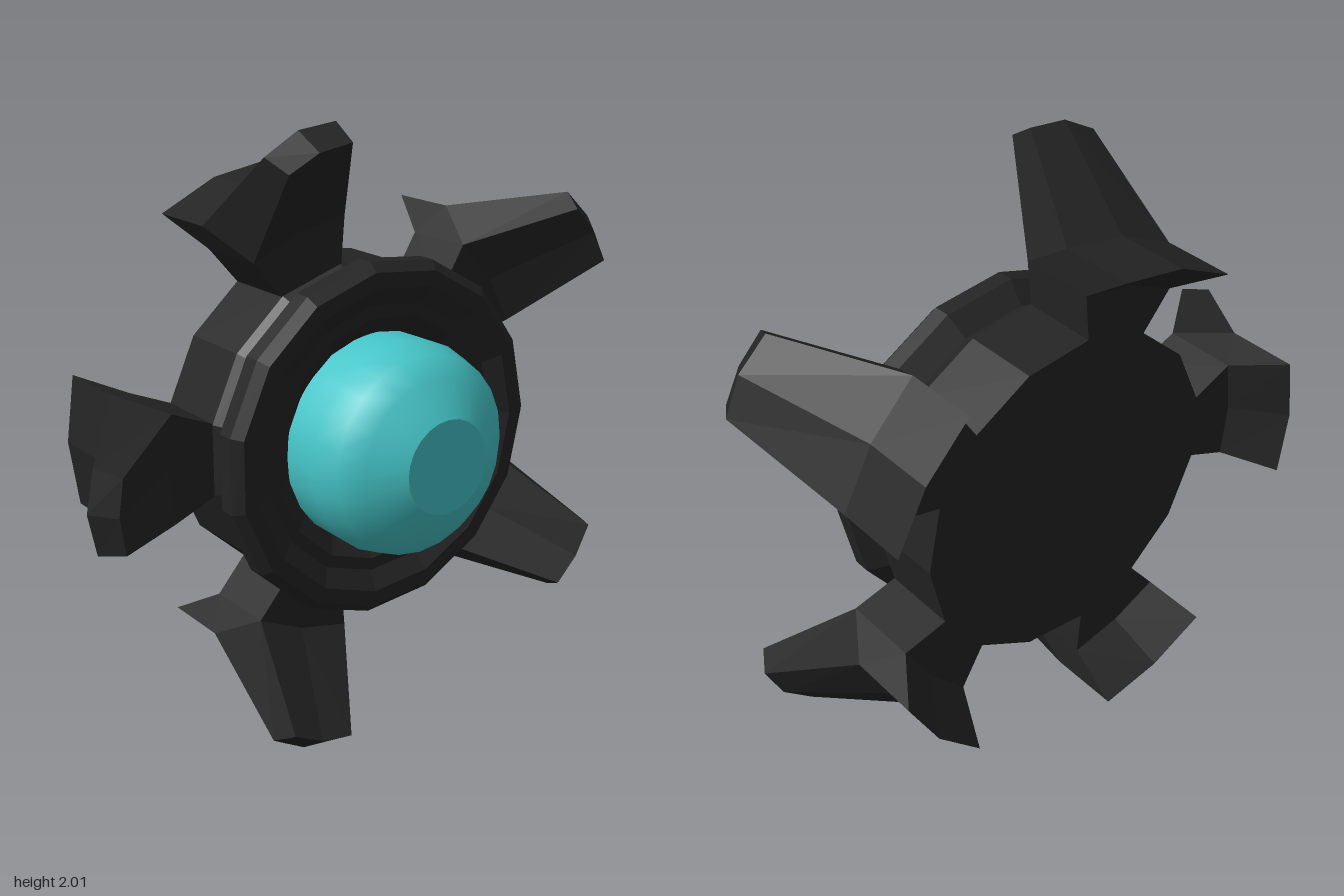
import * as THREE from 'three';

const casing = new THREE.MeshStandardMaterial({ color: 0x242424, flatShading: true });
casing.name = 'dark casing';
const glass = new THREE.MeshStandardMaterial({ color: 0x45c5c8 });
glass.name = 'teal lens';

// Profile of [radius, x] points turned about the x axis
function turned(points, sides) {
  const g = new THREE.LatheGeometry(points.map(p => new THREE.Vector2(p[0], p[1])), sides, Math.PI);
  return g.rotateZ(-Math.PI / 2);
}

// Arm pointing to +z: each row is x, edge radius, ridge radius, half width
function armGeometry() {
  const loop = [
    [-0.28, 0.52, 0.52, 0.112],
    [-0.28, 0.67, 0.69, 0.175],
    [-0.44, 0.78, 0.81, 0.213],
    [-0.20, 0.78, 0.81, 0.213],
    [0.13, 1.012, 1.038, 0.13],
    [0.21, 0.963, 0.98, 0.115],
    [-0.03, 0.67, 0.69, 0.175],
    [-0.03, 0.52, 0.52, 0.112],
  ];
  const n = loop.length, pos = [], idx = [];
  for (const k of [-1, 0, 1])
    for (const [x, edge, ridge, w] of loop) pos.push(x, k * w, k ? edge : ridge);
  for (let k = 0; k < 2; k++)
    for (let i = 0; i < n; i++) {
      const a = k * n + i, b = k * n + (i + 1) % n;
      idx.push(a, b, b + n, a, b + n, a + n);
    }
  // flat sides of the arm
  for (const [a, b, c] of [[0, 1, 7], [1, 6, 7], [1, 2, 3], [1, 3, 6], [3, 4, 6], [4, 5, 6]])
    idx.push(a, c, b, a + 2 * n, b + 2 * n, c + 2 * n);
  const g = new THREE.BufferGeometry();
  g.setAttribute('position', new THREE.Float32BufferAttribute(pos, 3));
  g.setIndex(idx);
  g.computeVertexNormals();
  return g;
}

export function createModel() {
  const model = new THREE.Group();
  model.name = 'model';
  const add = (name, geometry, material) => {
    const m = new THREE.Mesh(geometry, material);
    m.name = name;
    m.position.set(0, 1, -0.071);
    model.add(m);
    return m;
  };

  // Drum with a closed back
  add('drum', turned([[0, -0.28], [0.543, -0.28], [0.543, -0.03]], 15), casing);

  // Grooved front rim stepping inward to the lens
  add('rim', turned([
    [0.543, -0.03], [0.515, 0.015], [0.58, 0.07], [0.58, 0.125], [0.55, 0.155],
    [0.5, 0.155], [0.44, 0.12], [0.4, 0.12], [0.34, 0.08], [0, 0.08],
  ], 15), casing);

  // Domed lens with a flat end
  add('lens', turned([[0.34, 0.08], [0.342, 0.22], [0.318, 0.31], [0.26, 0.37], [0.15, 0.435]], 24), glass);
  const cap = new THREE.CircleGeometry(0.15, 24).rotateY(Math.PI / 2).translate(0.435, 0, 0);
  add('lensCap', cap, glass);

  // Five flared arms
  const arm = armGeometry();
  for (let i = 0; i < 5; i++) add('arm' + (i + 1), arm, casing).rotation.x = i * Math.PI * 2 / 5;

  return model;
}
